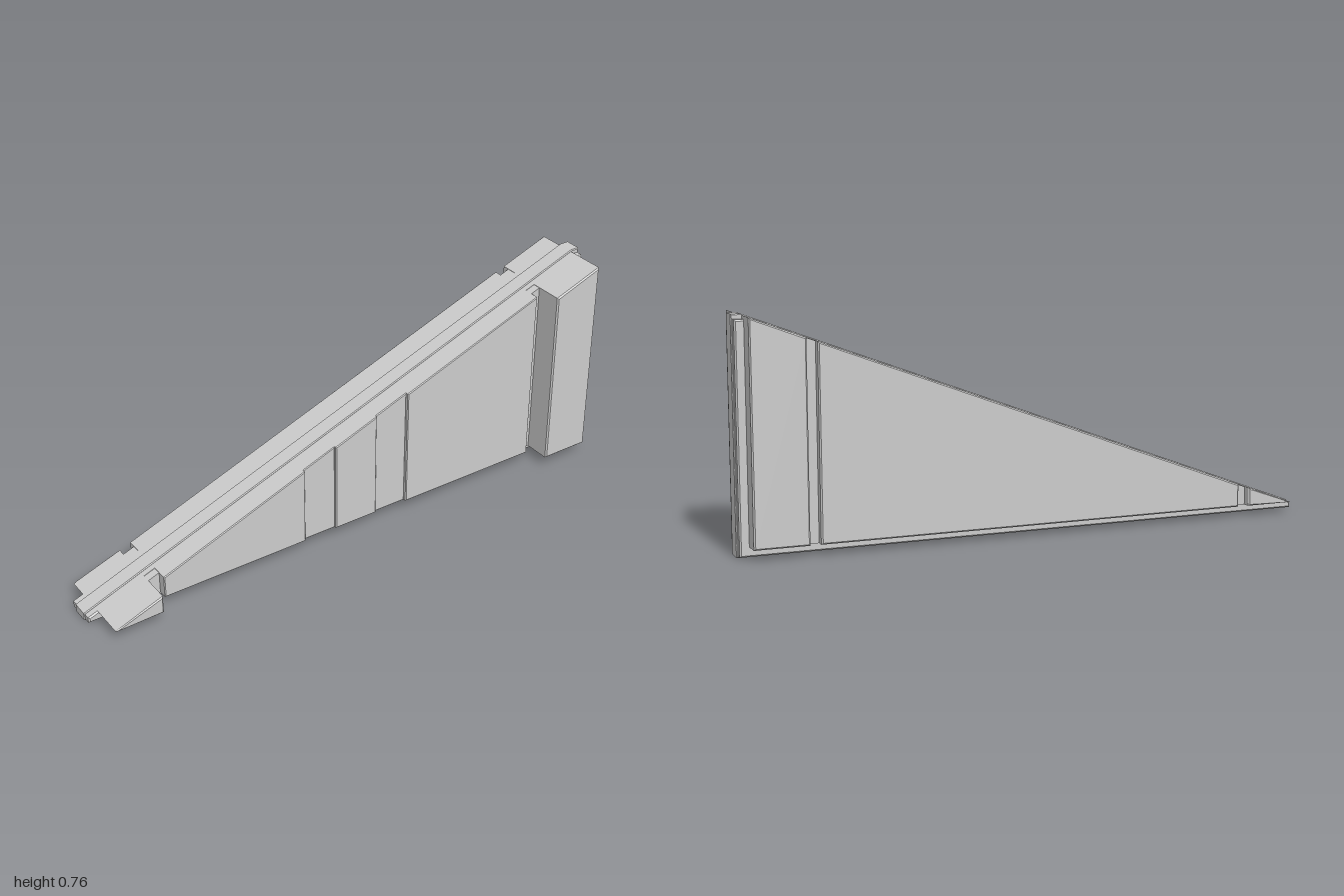
import * as THREE from 'three';

const material = new THREE.MeshStandardMaterial({ color: 0xcccccc, flatShading: true });
const SLOPE = 0.374;
const slopeAt = (x, base) => base + SLOPE * x;

// Slab with a sloping top, cut to x0..x1, optionally flattened at height yMax
function wedge(name, { x0, x1, y0, base, z0, z1, bevel = 0.005, yMax = Infinity }) {
  const points = [];
  const tip = (y0 - base) / SLOPE;
  if (tip > x0) points.push([tip, y0]);
  else points.push([x0, slopeAt(x0, base)], [x0, y0]);
  points.push([x1, y0]);
  if (slopeAt(x1, base) > yMax) points.push([x1, yMax], [(yMax - base) / SLOPE, yMax]);
  else points.push([x1, slopeAt(x1, base)]);
  const shape = new THREE.Shape(points.map(([x, y]) => new THREE.Vector2(x, y)));
  const geometry = new THREE.ExtrudeGeometry(shape, {
    depth: z1 - z0 - 2 * bevel,
    bevelEnabled: bevel > 0,
    bevelThickness: bevel,
    bevelSize: bevel,
    bevelOffset: -bevel,
    bevelSegments: 1,
  });
  geometry.translate(0, 0, z0 + bevel);
  const mesh = new THREE.Mesh(geometry, material);
  mesh.name = name;
  return mesh;
}

export function createModel() {
  const group = new THREE.Group();
  group.name = 'wedgeWall';

  // Narrow spine and wider flange running round the whole outline
  group.add(wedge('spine', { x0: -1, x1: 1, y0: 0.002, base: 0.404, z0: -0.062, z1: 0, yMax: 0.766, bevel: 0.003 }));
  group.add(wedge('flange', { x0: -0.997, x1: 0.995, y0: 0.007, base: 0.4, z0: -0.087, z1: 0.026, yMax: 0.75 }));

  // Recessed core seen in the grooves between the panels
  const panel = { y0: 0.04, base: 0.4 };
  group.add(wedge('core', { ...panel, x0: -0.95, x1: 0.955, base: 0.399, z0: -0.12, z1: 0.05, bevel: 0 }));

  // Thick end posts
  group.add(wedge('thinEndPost', { ...panel, x0: -0.965, x1: -0.79, z0: -0.15, z1: 0.15 }));
  group.add(wedge('tallEndPost', { ...panel, x0: 0.785, x1: 0.965, z0: -0.15, z1: 0.15 }));

  // Plain rear panel
  group.add(wedge('rearPanel', { ...panel, x0: -0.75, x1: 0.75, z0: -0.15, z1: 0 }));

  // Front panel with two shallow recessed strips
  const stops = [-0.75, -0.21, -0.085, 0.08, 0.205, 0.75];
  const fronts = [0.083, 0.073, 0.08, 0.073, 0.083];
  fronts.forEach((z1, i) => {
    group.add(wedge(`frontPanel${i + 1}`, { ...panel, x0: stops[i], x1: stops[i + 1], z0: -0.02, z1, bevel: 0.003 }));
  });

  return group;
}
